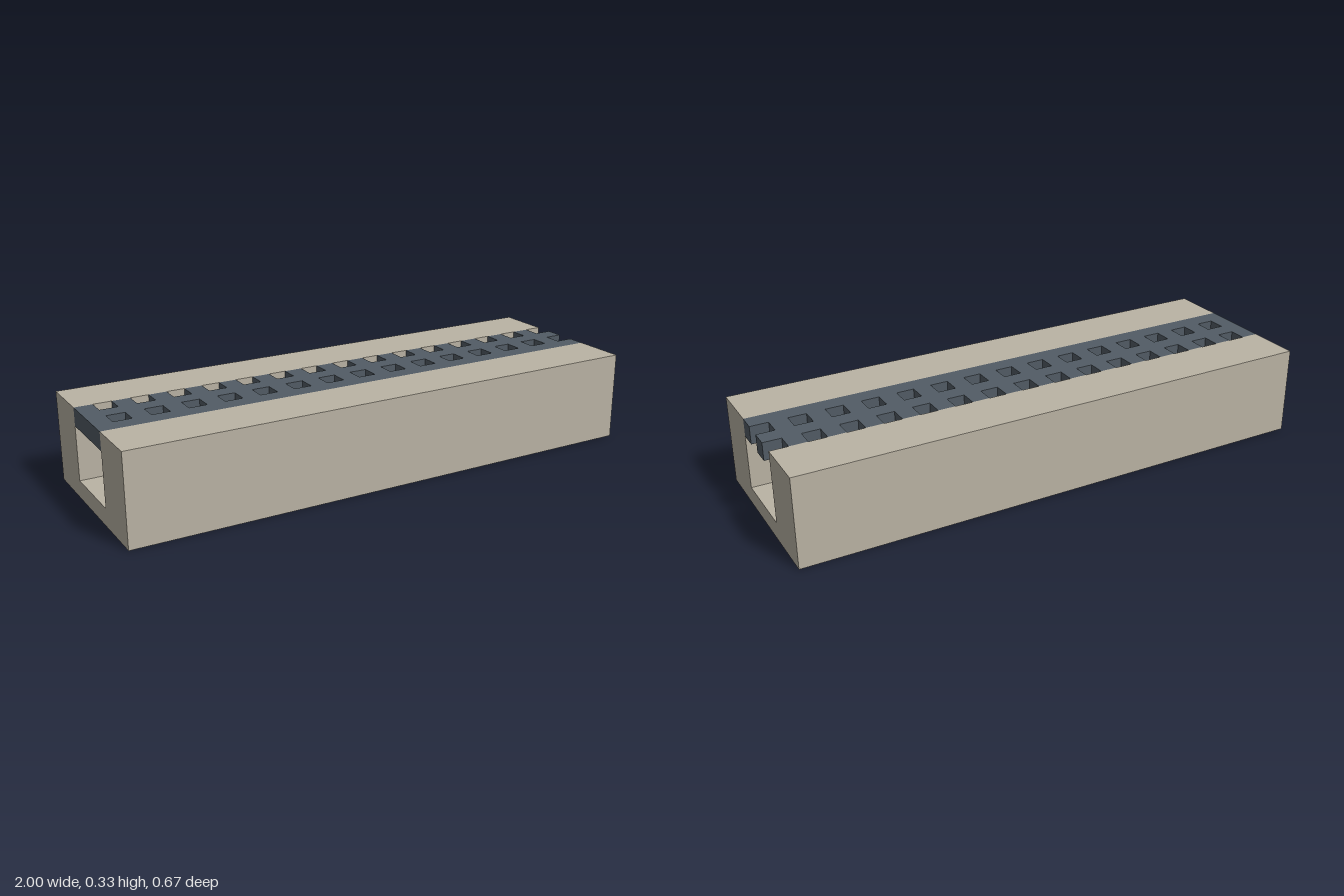
import * as THREE from 'three';

const U = 1 / 15;            // module grid unit
const SLOTS = 15;            // drain slots per row

const toShape = (pts) => new THREE.Shape(pts.map(([x, y]) => new THREE.Vector2(x * U, y * U)));

// U-shaped concrete trough, extruded along x
function makeTrough(material) {
  const profile = toShape([[-5, 0], [5, 0], [5, 5], [2, 5], [2, 1], [-2, 1], [-2, 5], [-5, 5]]);
  const geometry = new THREE.ExtrudeGeometry(profile, { depth: 2, bevelEnabled: false });
  geometry.translate(0, 0, -1).rotateY(Math.PI / 2);
  const mesh = new THREE.Mesh(geometry, material);
  mesh.name = 'trough';
  return mesh;
}

// Slotted cover: the rear row is open to the trough wall, the last slots open at the left end
function makeGrate(material) {
  const outline = [[-15, -2], [15, -2], [15, -1], [14, -1], [14, 0], [15, 0]];
  for (let i = SLOTS - 1; i >= 0; i--) {
    const x = -14 + 2 * i;
    outline.push([x + 1, 1], [x, 1], [x, 2], [x - 1, 2]);
  }
  const shape = toShape(outline);
  for (let i = 0; i < SLOTS - 1; i++) {
    const x = -14 + 2 * i;
    shape.holes.push(toShape([[x, -1], [x, 0], [x + 1, 0], [x + 1, -1]]));
  }
  const geometry = new THREE.ExtrudeGeometry(shape, { depth: U, bevelEnabled: false });
  geometry.rotateX(-Math.PI / 2).translate(0, 4 * U, 0);
  const mesh = new THREE.Mesh(geometry, material);
  mesh.name = 'grate';
  return mesh;
}

export function createModel() {
  const concrete = new THREE.MeshStandardMaterial({ color: 0xbab3a4 });
  concrete.name = 'concrete';
  const iron = new THREE.MeshStandardMaterial({ color: 0x525c65 });
  iron.name = 'iron';

  const group = new THREE.Group();
  group.name = 'drainChannel';
  group.add(makeTrough(concrete), makeGrate(iron));
  return group;
}
